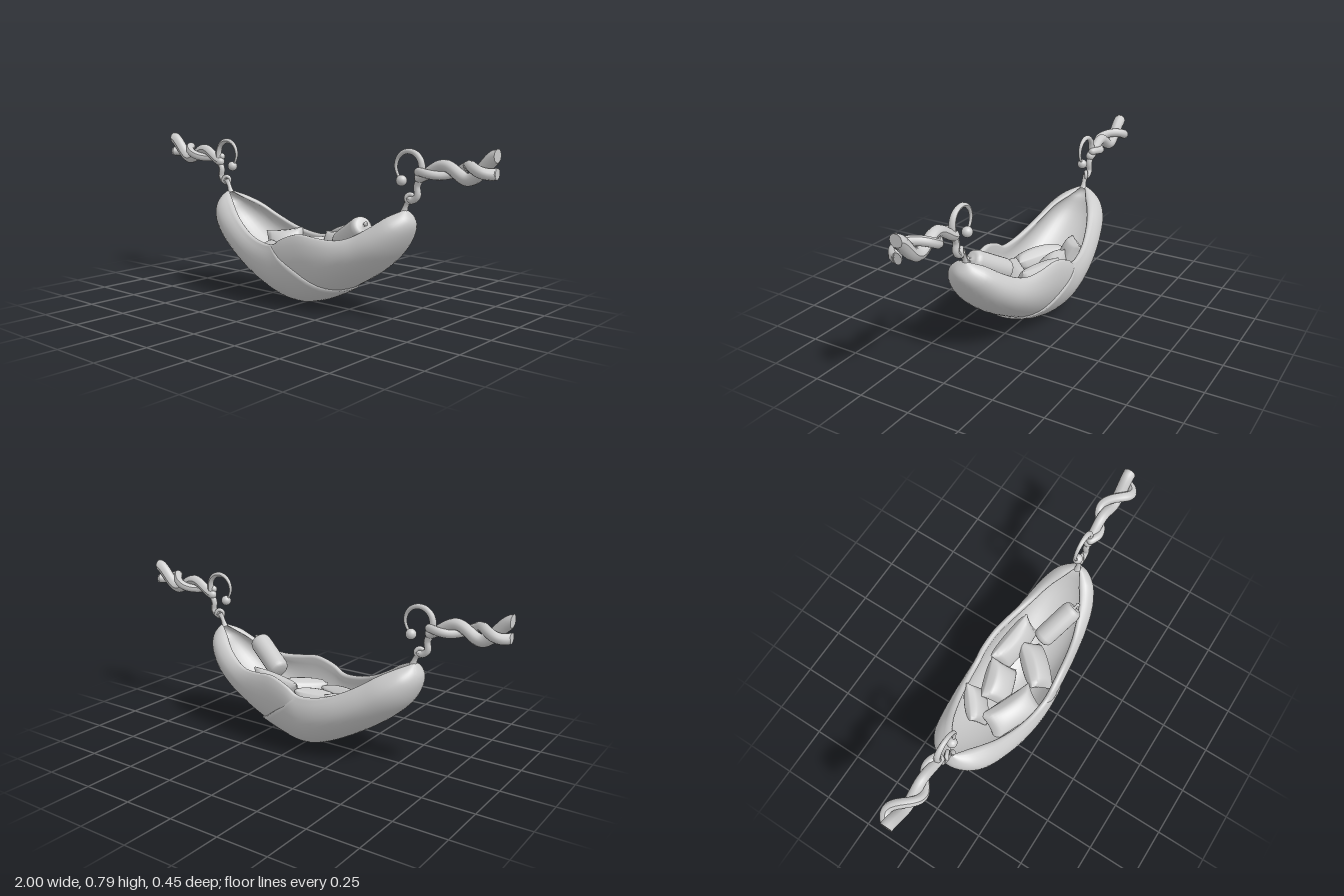
import * as THREE from 'three';
import { mergeVertices } from 'three/addons/utils/BufferGeometryUtils.js';

const grey = new THREE.MeshStandardMaterial({ color: 0xcccccc });
const cloth = new THREE.MeshStandardMaterial({ color: 0xcccccc, side: THREE.DoubleSide });
const V = (x, y, z) => new THREE.Vector3(x, y, z);

function add(parent, name, geo, mat = grey) {
  const m = new THREE.Mesh(geo, mat);
  m.name = name;
  parent.add(m);
  return m;
}

function smooth(geo) {
  geo.deleteAttribute('normal');
  geo.deleteAttribute('uv');
  const g = mergeVertices(geo, 1e-4);
  g.computeVertexNormals();
  return g;
}

// Grid surface from fn(i, j)
function gridSurface(nu, nv, fn) {
  const pos = [], idx = [], row = nv + 1;
  for (let i = 0; i <= nu; i++) for (let j = 0; j <= nv; j++) pos.push(...fn(i, j).toArray());
  for (let i = 0; i < nu; i++) for (let j = 0; j < nv; j++) {
    const a = i * row + j, b = a + row;
    idx.push(a, b, a + 1, b, b + 1, a + 1);
  }
  const g = new THREE.BufferGeometry();
  g.setAttribute('position', new THREE.Float32BufferAttribute(pos, 3));
  g.setIndex(idx);
  return smooth(g);
}

// Stations along the bed: keel x, keel y, rim x, rim y, half width
const stations = [
  [-.565, .51, -.565, .51, 0], [-.598, .455, -.55, .5, .045], [-.592, .40, -.51, .48, .098],
  [-.55, .32, -.44, .442, .145], [-.45, .225, -.36, .388, .177], [-.30, .125, -.25, .33, .204],
  [-.18, .06, -.15, .30, .217], [-.08, .02, -.06, .297, .222], [0, .01, 0, .33, .222],
  [.1, .03, .1, .362, .215], [.2, .07, .2, .354, .204], [.3, .125, .29, .352, .19],
  [.42, .20, .36, .372, .174], [.52, .29, .44, .42, .148], [.585, .39, .51, .475, .102],
  [.6, .455, .55, .5, .045], [.565, .51, .565, .51, 0],
];
const keel = new THREE.CatmullRomCurve3(stations.map(s => V(s[0], s[1], s[4])));
const rim = new THREE.CatmullRomCurve3(stations.map(s => V(s[2], s[3], 0)));

// The section reaches further round, curling in, towards both ends
const reach = s => THREE.MathUtils.degToRad(104 + 46 * Math.pow(Math.abs(2 * s - 1), 1.5));

// Point on the bed: s along, v = -1..1 around, k = 0 outer skin .. 1 inner skin
function bedPoint(s, v, k) {
  const a = keel.getPoint(s), b = rim.getPoint(s), th = v * reach(s);
  const w = Math.max(0, a.z), t = Math.min(.03, w * .3) * k;
  const u = (1 - Math.cos(th)) / (1 - Math.cos(reach(s)));
  const x = a.x + (b.x - a.x) * u;
  const y = a.y + (b.y - a.y) * u + t * Math.cos(th);
  return V(x - x / .6 * t, y, (w - t) * Math.sin(th));
}

function buildBed(group) {
  const n = 24, loop = [];
  for (let i = 0; i <= n; i++) loop.push([i / n * 2 - 1, 0]);
  loop.push([1, .25, .009], [1, .5, .012], [1, .75, .009]);
  for (let i = n; i >= 0; i--) loop.push([i / n * 2 - 1, 1]);
  loop.push([-1, .75, .009], [-1, .5, .012], [-1, .25, .009], loop[0]);
  add(group, 'bedShell', gridSurface(64, loop.length - 1, (i, j) => {
    const [v, k, lift = 0] = loop[j], s = i / 64, th = reach(s);
    const p = bedPoint(s, v, k), rise = lift * Math.min(1, 8 * Math.min(s, 1 - s));
    p.y += rise * Math.sin(th);
    p.z += v * rise * Math.cos(th);
    return p;
  }), cloth);

  // Lower leaf wraps over the outside and stops at a slanted seam
  const nu = 40, nv = 32;
  add(group, 'overlappingLeaf', gridSurface(nu, nv, (i, j) => {
    const v = j / nv * 2 - 1, u = Math.abs(v);
    const end = .675 - .235 * Math.pow(u, 1.5);
    const s = end * Math.min(1, i / (nu - 1));
    const p = bedPoint(s, v, 0), th = v * reach(s);
    const off = i === nu ? -.006 : .009 * Math.min(1, (1 - u) * 3) * Math.min(1, s * 6);
    p.z += off * Math.sin(th);
    p.y -= off * Math.cos(th);
    return p;
  }), cloth);
}

// Pillow: a box grid pinched thin at its edges, with pointed corners
function pillowGeometry(w, h, d) {
  const g = new THREE.BoxGeometry(2, 2, 2, 14, 14, 2), p = g.attributes.position;
  for (let i = 0; i < p.count; i++) {
    const x = p.getX(i), y = p.getY(i);
    const puff = Math.pow(Math.max(0, (1 - x * x) * (1 - y * y)), .4);
    p.setXYZ(i, x * w / 2 * (1 - .07 * (1 - y * y) * x * x), y * h / 2 * (1 - .07 * (1 - x * x) * y * y),
      p.getZ(i) * d / 2 * (.1 + .9 * puff));
  }
  return smooth(g);
}

function buildPillows(group) {
  // size, position, rotation (x tilt, y turn, z roll)
  const list = [
    [[.19, .17, .10], [-.24, .24, -.09], [-.4, .65, .1]],
    [[.21, .18, .12], [-.08, .225, -.06], [-.7, .25, .1]],
    [[.29, .16, .12], [-.17, .21, .075], [-.9, -.35, -.05]],
    [[.25, .16, .12], [.10, .22, .045], [-.7, .75, .1]],
    [[.28, .17, .10], [.13, .265, -.10], [-.35, -.15, .1]],
  ];
  for (const [size, pos, rot] of list) {
    const m = add(group, 'pillow', pillowGeometry(...size));
    m.position.set(...pos);
    m.rotation.set(...rot, 'YXZ');
  }
  // Round bolster leaning on the raised end, with a small knob
  const from = V(.2, .315, .01), to = V(.395, .43, .085), half = from.distanceTo(to) / 2;
  const bolster = new THREE.Group();
  bolster.name = 'bolster';
  const profile = [[0, -half], [.035, -half], [.048, -half + .012], [.053, -half + .03], [.053, half - .03],
    [.048, half - .012], [.035, half], [.008, half - .004], [.006, half + .012], [.011, half + .018],
    [.008, half + .028], [0, half + .03]].map(q => new THREE.Vector2(...q));
  add(bolster, 'bolsterBody', new THREE.LatheGeometry(profile, 24));
  bolster.position.copy(from).lerp(to, .5);
  bolster.quaternion.setFromUnitVectors(V(0, 1, 0), to.clone().sub(from).normalize());
  group.add(bolster);
}

// Tube whose radius follows rule(t)
function taperedTube(points, radius, segs, rule) {
  const curve = new THREE.CatmullRomCurve3(points);
  const g = new THREE.TubeGeometry(curve, segs, radius, 10), p = g.attributes.position;
  for (let i = 0; i < p.count; i++) {
    const t = Math.floor(i / 11) / segs, c = curve.getPointAt(t);
    const q = V(0, 0, 0).fromBufferAttribute(p, i).sub(c).multiplyScalar(rule(t)).add(c);
    p.setXYZ(i, q.x, q.y, q.z);
  }
  g.computeVertexNormals();
  return g;
}

function buildHanger() {
  const g = new THREE.Group();
  g.name = 'hanger';
  // Hook thinning towards its ball tip
  const path = [V(-.575, .555, 0), V(-.6, .553, 0), V(-.622, .575, 0), V(-.618, .615, 0), V(-.635, .655, 0)];
  for (let a = 175; a >= -35; a -= 30) {
    const r = THREE.MathUtils.degToRad(a);
    path.push(V(-.573 + .068 * Math.cos(r), .698 + .068 * Math.sin(r), 0));
  }
  path.push(V(-.535, .637, 0));
  add(g, 'hook', taperedTube(path, .016, 60, t => t < .4 ? 1 : 1 - 1.1 * (t - .4)), cloth);
  add(g, 'hookBall', new THREE.SphereGeometry(.025, 20, 14)).position.set(-.536, .635, 0);
  // Link tying the hook to the bed
  add(g, 'link', taperedTube([V(-.552, .495, 0), V(-.562, .525, 0), V(-.58, .56, 0)], .018, 10,
    t => 1 - .35 * Math.sin(t * Math.PI)), cloth);
  const eye = add(g, 'eye', new THREE.TorusGeometry(.018, .01, 8, 18));
  eye.position.set(-.583, .56, 0);
  eye.rotation.y = .5;

  // Two twisted strands: a wavy core and a wider wrap
  const main = [], wrap = [], n = 32;
  const centre = new THREE.CatmullRomCurve3([V(-1, .728, 0), V(-.87, .692, 0), V(-.75, .692, 0), V(-.63, .667, 0)]);
  for (let i = 0; i <= n; i++) {
    const c = centre.getPoint(i / n), a = (c.x + .935) / .26 * Math.PI * 2;
    const amp = .058 - .034 * i / n;
    main.push(V(c.x, c.y - amp * .65 * Math.sin(a), 0));
    wrap.push(V(c.x, c.y + amp * .6 * Math.sin(a), -amp * Math.cos(a)));
  }
  for (const [name, pts, r] of [['ropeCore', main, .031], ['ropeWrap', wrap, .025]]) {
    const geo = taperedTube(pts, r, 90, t => 1 - .25 * t);
    const p = geo.attributes.position;
    for (let i = 0; i < p.count; i++) if (i < 11 || p.getX(i) < -1) p.setX(i, -1);
    add(g, name, geo, cloth);
    const cap = add(g, name + 'End', new THREE.CircleGeometry(r, 10), cloth);
    cap.position.copy(pts[0]);
    cap.rotation.y = -Math.PI / 2;
    add(g, name + 'Tip', new THREE.SphereGeometry(r * .75, 12, 10)).position.copy(pts[n]);
  }
  return g;
}

export function createModel() {
  const model = new THREE.Group();
  model.name = 'hangingBed';
  buildBed(model);
  buildPillows(model);
  // The two hangers are half a turn apart
  for (const turn of [0, Math.PI]) {
    const h = buildHanger();
    h.rotation.y = turn;
    model.add(h);
  }
  return model;
}
